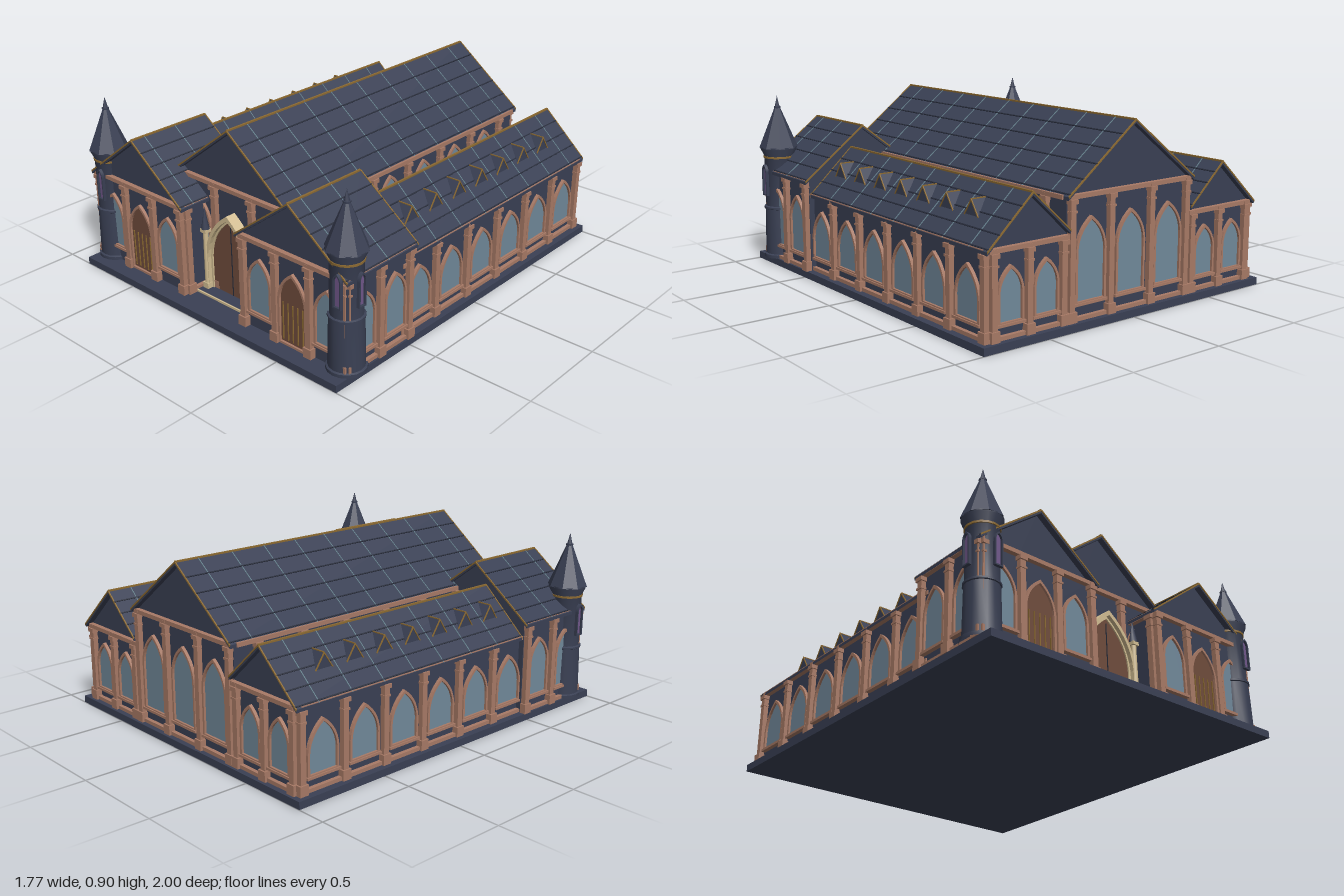
import * as THREE from 'three';
import { toCreasedNormals } from 'three/addons/utils/BufferGeometryUtils.js';

const mat = (name, color, side = THREE.FrontSide) => {
  const m = new THREE.MeshStandardMaterial({ color, side });
  m.name = name;
  return m;
};
const M = {
  wall: mat('slate wall', 0x3a4054), batten: mat('dark batten', 0x252a38),
  seam: mat('pale seam', 0x67838f), trim: mat('copper trim', 0xa87a66),
  door: mat('door wood', 0x6f4c3c), glass: mat('blue glass', 0x71899a),
  gold: mat('old gold', 0x8c6a32), cream: mat('cream stone', 0xd2bd92),
  purple: mat('purple glass', 0x70578a),
};

function add(parent, name, geo, material, x = 0, y = 0, z = 0) {
  const m = new THREE.Mesh(geo, material);
  m.name = name;
  m.position.set(x, y, z);
  parent.add(m);
  return m;
}
const box = (parent, name, w, h, d, material, x, y, z) =>
  add(parent, name, new THREE.BoxGeometry(w, h, d), material, x, y, z);
const extrude = (shape, depth) =>
  new THREE.ExtrudeGeometry(shape, { depth, bevelEnabled: false, curveSegments: 7 });
function group(parent, name, x = 0, y = 0, z = 0, ry = 0) {
  const g = new THREE.Group();
  g.name = name;
  g.position.set(x, y, z);
  g.rotation.y = ry;
  parent.add(g);
  return g;
}

// Pointed arch outline, from y0 to its tip y1
function arch(w, y0, y1, path = new THREE.Shape()) {
  const h = w / 2, s = Math.max(y0, y1 - w * 0.85), c = s + (y1 - s) * 0.62;
  path.moveTo(-h, y0);
  path.lineTo(h, y0);
  path.lineTo(h, s);
  path.quadraticCurveTo(h * 0.92, c, 0, y1);
  path.quadraticCurveTo(-h * 0.92, c, -h, s);
  path.closePath();
  return path;
}
function archFrame(w, y0, y1, t, bottom = t) {
  const f = arch(w, y0, y1);
  f.holes.push(arch(w - 2 * t, y0 + bottom, y1 - t * 1.4, new THREE.Path()));
  return f;
}
function lancet(parent, name, x, w, y0, y1, pane, frame = M.trim, t = 0.012) {
  const g = group(parent, name, x);
  add(g, 'pane', new THREE.ShapeGeometry(arch(w - t, y0 + t / 2, y1 - t), 7), pane, 0, 0, 0.005);
  add(g, 'archFrame', extrude(archFrame(w, y0, y1, t), 0.016), frame);
  return g;
}

function pilaster(parent, x, h) {
  const g = group(parent, 'pilaster', x);
  box(g, 'shaft', 0.03, h - 0.035, 0.025, M.trim, 0, (h + 0.035) / 2, 0.0125);
  box(g, 'plinth', 0.046, 0.05, 0.032, M.trim, 0, 0.06, 0.016);
  box(g, 'capital', 0.042, 0.02, 0.032, M.trim, 0, h - 0.025, 0.016);
  box(g, 'neck', 0.037, 0.01, 0.029, M.trim, 0, h - 0.07, 0.0145);
}

// Flat facade in its own xy plane: pilasters, beams, windows and doors
function facade(parent, name, x, z, ry, len, h, cols, windows, win, doors = []) {
  const g = group(parent, name, x, 0, z, ry);
  box(g, 'topBeam', len, 0.02, 0.024, M.trim, 0, h - 0.005, 0.012);
  if (!doors.length) box(g, 'footBeam', len, 0.018, 0.02, M.trim, 0, 0.046, 0.01);
  cols.forEach(c => pilaster(g, c, h));
  windows.forEach(c => {
    lancet(g, 'window', c, win[0], win[1], win[2], M.glass);
    box(g, 'sill', win[0] + 0.012, 0.012, 0.022, M.trim, c, win[1], 0.011);
  });
  doors.forEach(c => {
    const d = lancet(g, 'sideDoor', c, 0.175, 0.035, 0.41, M.door);
    for (let i = -2; i <= 2; i++)
      box(d, 'doorStrap', 0.004, 0.19, 0.006, M.gold, i * 0.03, 0.155, 0.007);
  });
}

// Chevron section: ridge at the origin, arms of width l and r, falling at slope k
function chevron(l, r, k, t) {
  return new THREE.Shape([[-l, -l * k], [-l, -l * k - t], [0, -t], [r, -r * k - t], [r, -r * k], [0, 0]]
    .map(p => new THREE.Vector2(...p)));
}
function roof(parent, name, x, ridge, l, r, k, z0, z1, rows, seams) {
  const g = group(parent, name, x, ridge), len = z1 - z0, mid = (z0 + z1) / 2;
  add(g, 'slopes', extrude(chevron(l, r, k, 0.016), len), M.wall, 0, 0, z0);
  for (const z of [z0 - 0.003, z1 - 0.003])
    add(g, 'vergeTrim', extrude(chevron(l, r, k, 0.009), 0.006), M.gold, 0, 0.003, z);
  box(g, 'ridgeBar', 0.01, 0.008, len, M.gold, 0, 0, mid);
  for (const [s, w] of [[-1, l], [1, r]]) {
    const a = -s * Math.atan(k), slant = w * Math.hypot(1, k);
    for (let i = 1; i <= rows; i++) {
      const d = w * i / (rows + 0.15);
      box(g, 'batten', 0.006, 0.006, len, M.batten, s * d, -d * k, mid).rotation.z = a;
    }
    for (const z of seams) if (z > z0 + 0.02 && z < z1 - 0.02)
      box(g, 'seam', slant, 0.005, 0.004, M.seam, s * w / 2, -w * k / 2, z).rotation.z = a;
  }
}
// Solid walls with a gable top
function hall(parent, name, x, ridge, l, r, k, z0, z1) {
  const s = new THREE.Shape([[-l, 0.03], [r, 0.03], [r, ridge - r * k], [0, ridge], [-l, ridge - l * k]]
    .map(p => new THREE.Vector2(...p)));
  add(parent, name, extrude(s, z1 - z0), M.wall, x, 0, z0);
}

function dormer(parent, x, y, z, ry) {
  const g = group(parent, 'dormer', x, y, z, ry);
  const A = [0, 0, 0.047], B = [0, 0, -0.047], C = [0, 0.07, 0], D = [-0.078, 0.07, 0];
  const geo = new THREE.BufferGeometry();
  geo.setAttribute('position', new THREE.Float32BufferAttribute([A, B, C, A, C, D, B, D, C].flat(2), 3));
  geo.computeVertexNormals();
  add(g, 'dormerRoof', geo, M.wall);
  const edge = add(g, 'dormerTrim', extrude(chevron(0.05, 0.05, 1.49, 0.009), 0.005), M.gold, -0.001, 0.074, 0);
  edge.rotation.y = Math.PI / 2;
  box(g, 'dormerRidge', 0.078, 0.005, 0.005, M.gold, -0.039, 0.071, 0);
}

function tower(parent, x, z) {
  const g = group(parent, 'tower', x, 0, z);
  const profile = [[0.094, 0.035], [0.094, 0.052], [0.085, 0.056], [0.08, 0.295], [0.085, 0.298], [0.085, 0.308],
    [0.076, 0.312], [0.076, 0.575], [0.094, 0.615], [0.094, 0.625]].map(p => new THREE.Vector2(...p));
  add(g, 'towerBody', toCreasedNormals(new THREE.LatheGeometry(profile, 16), 0.6), M.wall);
  add(g, 'towerBand', new THREE.CylinderGeometry(0.081, 0.081, 0.01, 16), M.gold, 0, 0.572, 0);
  const cone = new THREE.CylinderGeometry(0.014, 0.1, 0.21, 8).toNonIndexed();
  cone.computeVertexNormals();
  add(g, 'spireRoof', cone, M.wall, 0, 0.725, 0).rotation.y = Math.PI / 8;
  add(g, 'spireCollar', new THREE.CylinderGeometry(0.018, 0.018, 0.008, 8), M.wall, 0, 0.83, 0);
  add(g, 'spireTip', new THREE.ConeGeometry(0.014, 0.06, 8), M.wall, 0, 0.86, 0);
  for (const [px, pz, ry] of [[0.02, 0.073, 0], [0.075, 0, Math.PI / 2], [-0.075, 0, -Math.PI / 2]])
    lancet(group(g, 'towerWindow', px, 0, pz, ry), 'lancet', 0, 0.045, 0.37, 0.535, M.purple, M.wall, 0.007);
}

function portal(parent) {
  const g = group(parent, 'portal');
  box(g, 'step', 0.36, 0.012, 0.1, M.wall, 0, 0.04, 0.805);
  box(g, 'stepEdge', 0.36, 0.013, 0.008, M.cream, 0, 0.04, 0.857);
  add(g, 'mainDoor', new THREE.ShapeGeometry(arch(0.27, 0.04, 0.45), 7), M.door, 0, 0, 0.785);
  box(g, 'doorGap', 0.004, 0.38, 0.004, M.batten, 0, 0.23, 0.786);
  add(g, 'outerArch', extrude(archFrame(0.32, 0.035, 0.48, 0.018, 0), 0.055), M.cream, 0, 0, 0.757);
  add(g, 'innerArch', extrude(archFrame(0.29, 0.035, 0.462, 0.014, 0), 0.035), M.cream, 0, 0, 0.757);
  for (const s of [-1, 1]) {
    add(g, 'portalColumn', new THREE.CylinderGeometry(0.013, 0.015, 0.33, 10), M.cream, s * 0.157, 0.2, 0.805);
    box(g, 'columnPlinth', 0.036, 0.04, 0.036, M.cream, s * 0.157, 0.055, 0.805);
    box(g, 'columnCapital', 0.036, 0.018, 0.036, M.cream, s * 0.157, 0.355, 0.805);
    add(g, 'pinnacle', new THREE.ConeGeometry(0.021, 0.115, 8), M.wall, s * 0.157, 0.42, 0.805);
  }
}

export function createModel() {
  const root = new THREE.Group();
  root.name = 'gothicHall';
  const Q = Math.PI / 2;
  const seams = Array.from({ length: 10 }, (_, i) => 0.85 - i * 0.19);
  box(root, 'basePlinth', 1.71, 0.036, 2, M.wall, 0, 0.018, 0);

  // Central nave
  hall(root, 'naveWalls', 0, 0.89, 0.375, 0.375, 0.768, -0.955, 0.755);
  roof(root, 'naveRoof', 0, 0.9, 0.39, 0.39, 0.768, -0.985, 0.785, 5, seams);
  facade(root, 'naveFront', 0, 0.755, 0, 0.75, 0.6, [-0.125, 0.125], [-0.245, 0.245], [0.17, 0.11, 0.5]);
  facade(root, 'naveBack', 0, -0.955, Math.PI, 0.75, 0.6,
    [-0.355, -0.125, 0.125, 0.355], [-0.24, 0, 0.24], [0.18, 0.11, 0.5]);
  portal(root);

  for (const s of [-1, 1]) {
    // Clerestory
    facade(root, 'clerestory', s * 0.372, -0.1, s * Q, 1.7, 0.6,
      [-3, -2, -1, 0, 1, 2, 3].map(i => s * (i * 0.26 + 0.21 - 0.21)).map(o => o + s * -0.05),
      [-2.5, -1.5, -0.5, 0.5, 1.5, 2.5].map(i => s * (i * 0.26 - 0.05)), [0.16, 0.3, 0.56]);

    // Side aisle, its inner slope ending in the nave wall
    const inL = s > 0 ? 0.21 : 0.24, inR = s > 0 ? 0.24 : 0.21;
    hall(root, 'aisleWalls', s * 0.585, 0.64, inL - (s > 0 ? 0 : 0.025), inR - (s > 0 ? 0.025 : 0), 0.917, -0.954, 0.48);
    roof(root, 'aisleRoof', s * 0.585, 0.65, inL, inR, 0.917, -0.985, 0.465, 4, seams);
    const bays = [-2.5, -1.5, -0.5, 0.5, 1.5, 2.5].map(i => i * 0.243);
    facade(root, 'aisleSide', s * 0.8, -0.22, s * Q, 1.47, 0.43,
      [-3, -2, -1, 0, 1, 2, 3].map(i => i * 0.243), bays, [0.178, 0.1, 0.355]);
    facade(root, 'aisleBack', s * 0.59, -0.954, Math.PI, 0.43, 0.43,
      [-0.19, 0, 0.19], [-0.097, 0.097], [0.14, 0.1, 0.355]);
    for (let i = 0; i < 7; i++) dormer(root, s * 0.72, 0.526, -0.74 + i * 0.18, s > 0 ? 0 : Math.PI);

    // Front wing
    hall(root, 'wingWalls', s * 0.5165, 0.745, 0.31, 0.31, 0.755, 0.475, 0.9);
    roof(root, 'wingRoof', s * 0.5165, 0.755, 0.338, 0.338, 0.755, 0.46, 0.93, 5, seams);
    facade(root, 'wingFront', s * 0.5165, 0.9, 0, 0.64, 0.5,
      [-0.305, -0.103, 0.103, 0.305], [-0.205, 0.205], [0.15, 0.115, 0.41], [0]);
    facade(root, 'wingSide', s * 0.8265, 0.695, s * Q, 0.44, 0.5,
      [-0.2, 0, 0.2], [-0.105, 0.105], [0.15, 0.105, 0.41]);
    facade(root, 'wingInnerSide', s * 0.2065, 0.695, -s * Q, 0.42, 0.5, [-s * -0.19], [], []);
    tower(root, s * 0.79, 0.86);
  }
  return root;
}
